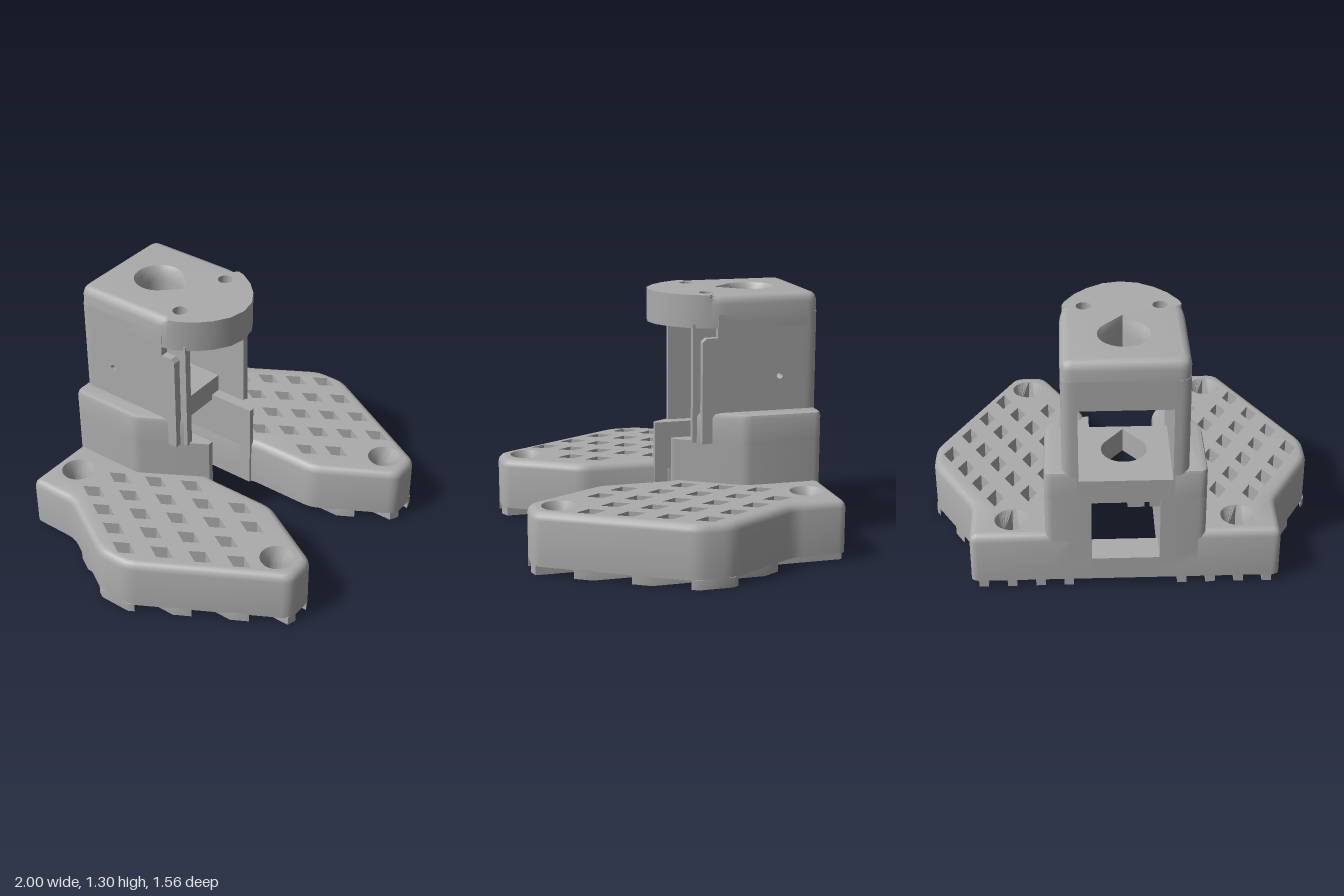
import * as THREE from 'three';
import { toCreasedNormals } from 'three/addons/utils/BufferGeometryUtils.js';

const V = (x, z) => new THREE.Vector2(x, z);
const grey = new THREE.MeshStandardMaterial({ color: 0xababab });
grey.name = 'grey plastic';

// Outline from [x, z, cornerRadius] points, optionally mirrored in x
function outline(list, side = 1) {
  const p = list.map(([x, z]) => V(x * side, z));
  const out = [];
  list.forEach(([, , r], i) => {
    if (!r) return out.push(p[i]);
    const n = p.length;
    const a = p[(i + n - 1) % n].clone().sub(p[i]).setLength(r).add(p[i]);
    const b = p[(i + 1) % n].clone().sub(p[i]).setLength(r).add(p[i]);
    out.push(...new THREE.QuadraticBezierCurve(a, p[i], b).getPoints(4));
  });
  return out;
}

const orient = (pts, ccw) => ((THREE.ShapeUtils.area(pts) > 0) === ccw ? pts : [...pts].reverse());

// Shrinks a counter-clockwise outline by d; weight(p) can switch this off locally
function inset(pts, d, weight) {
  const n = pts.length;
  const normal = (a, b) => V(a.y - b.y, b.x - a.x).normalize();
  return pts.map((p, i) => {
    const n1 = normal(pts[(i + n - 1) % n], p), n2 = normal(p, pts[(i + 1) % n]);
    return p.clone().addScaledVector(n1.clone().add(n2), (d * weight(p)) / (1 + n1.dot(n2)));
  });
}

// Upright solid: rings are [y, inset]; each hole is a list of [y, points] from bottom to top
function solid(name, pts, rings, holes = [], weight = () => 1) {
  const pos = [];
  const put = (p, y) => pos.push(p.x, y, p.y);
  const wall = (levels) => {
    for (let k = 0; k + 1 < levels.length; k++) {
      const [y0, lo] = levels[k], [y1, hi] = levels[k + 1];
      lo.forEach((a, i) => {
        const j = (i + 1) % lo.length;
        put(a, y0); put(hi[i], y1); put(lo[j], y0);
        put(lo[j], y0); put(hi[i], y1); put(hi[j], y1);
      });
    }
  };
  const lid = ([y, contour], inner, up) => {
    const all = [contour, ...inner].flat();
    for (const [a, b, c] of THREE.ShapeUtils.triangulateShape([...contour], inner.map((h) => [...h])))
      (up ? [a, c, b] : [a, b, c]).forEach((i) => put(all[i], y));
  };
  const base = orient(pts, true);
  const outer = rings.map(([y, d]) => [y, d ? inset(base, d, weight) : base]);
  const inner = holes.map((h) => h.map(([y, p]) => [y, orient(p, false)]));
  wall(outer);
  inner.forEach(wall);
  lid(outer[0], inner.map((h) => h[0][1]), false);
  lid(outer.at(-1), inner.map((h) => h.at(-1)[1]), true);
  const g = new THREE.BufferGeometry();
  g.setAttribute('position', new THREE.Float32BufferAttribute(pos, 3));
  return mesh(name, toCreasedNormals(g, 0.6));
}

function mesh(name, geometry) {
  const m = new THREE.Mesh(geometry, grey);
  m.name = name;
  return m;
}

function box(name, x0, x1, y0, y1, z0, z1) {
  const m = mesh(name, new THREE.BoxGeometry(x1 - x0, y1 - y0, z1 - z0));
  m.position.set((x0 + x1) / 2, (y0 + y1) / 2, (z0 + z1) / 2);
  return m;
}

// Circle whose front end is drawn out to a point at distance tip
function drop(x, z, r, tip = r) {
  const open = tip > r ? Math.acos(r / tip) : 0;
  const pts = [V(x, z + tip)];
  for (let i = 0; i < 24; i++) {
    const a = Math.PI / 2 + Math.max(open, 0.13) + (i / 23) * (2 * Math.PI - 2 * Math.max(open, 0.13));
    pts.push(V(x + r * Math.cos(a), z + r * Math.sin(a)));
  }
  return pts;
}

const WING = [[0.17, -0.78], [0.78, -0.78, 0.04], [0.78, -0.5, 0.05], [1, -0.12, 0.05], [1, 0.05, 0.05],
  [0.59, 0.78, 0.05], [0.42, 0.78, 0.05], [0.19, 0.37, 0.05], [0.19, 0], [0.17, -0.1]];
const SCREWS = [[0.57, -0.64], [0.51, 0.63]];

// Distance from a point to the wing's edge, negative when outside
function edgeDistance(p) {
  let best = Infinity, inside = false;
  WING.forEach(([ax, az], i) => {
    const [bx, bz] = WING[(i + 1) % WING.length];
    const a = V(ax, az), e = V(bx - ax, bz - az);
    const t = THREE.MathUtils.clamp(p.clone().sub(a).dot(e) / e.lengthSq(), 0, 1);
    best = Math.min(best, a.addScaledVector(e, t).distanceTo(p));
    if ((az > p.y) !== (bz > p.y) && p.x < ax + ((p.y - az) / (bz - az)) * (bx - ax)) inside = !inside;
  });
  return inside ? best : -best;
}

// Centres of the skewed lattice of diamond openings
function diamondCentres() {
  const out = [];
  for (let i = -8; i <= 12; i++) for (let j = -6; j <= 8; j++) {
    const p = V(0.66 + 0.083 * i - 0.17 * j, -0.45 + 0.139 * i + 0.037 * j);
    const clearOfTower = p.y > 0 || p.x - 0.4 + Math.max(0, p.y + 0.37) * 0.588 > 0.05;
    const clearOfScrews = SCREWS.every(([x, z]) => p.distanceTo(V(x, z)) > 0.155);
    if (edgeDistance(p) > 0.08 && clearOfTower && clearOfScrews) out.push(p);
  }
  return out;
}

function buildWing(side) {
  const g = new THREE.Group();
  g.name = side > 0 ? 'leftWing' : 'rightWing';
  const holes = diamondCentres().map(({ x, y: z }) => {
    const d = outline([[x, z - 0.075], [x + 0.044, z], [x, z + 0.075], [x - 0.044, z]], side);
    return [[0.045, d], [0.32, d]];
  });
  // Countersunk mounting holes
  for (const [x, z] of SCREWS) {
    const thru = drop(x * side, z, 0.05, 0.075);
    holes.push([[0.045, thru], [0.24, thru], [0.32, drop(x * side, z, 0.087)]]);
  }
  g.add(solid('wingPlate', outline(WING, side),
    [[0.045, 0], [0.28, 0], [0.3, 0.006], [0.313, 0.018], [0.32, 0.035]], holes));
  // Runners under the plate, cut off along the wing's edge
  const back = (x) => (x < 0.78 ? -0.77 : -0.5 + (x - 0.78) * 1.727);
  const front = (x) => (x < 0.42 ? 0.37 + (x - 0.19) * 1.783 : x < 0.59 ? 0.78 : 0.78 - (x - 0.59) * 1.78);
  for (let k = 0; k < 6; k++) {
    const a = 0.262 + 0.144 * k, b = Math.min(a + 0.048, 1);
    g.add(solid('runner', outline([[a, back(a)], [b, back(b)], [b, front(b)], [a, front(a)]], side),
      [[0, 0], [0.05, 0]]));
  }
  return g;
}

function buildTowerSide(side) {
  const g = new THREE.Group();
  g.name = side > 0 ? 'leftTowerSide' : 'rightTowerSide';
  g.add(
    solid('lowerPillar', outline([[0.17, -0.78], [0.4, -0.78, 0.04], [0.4, -0.37, 0.03], [0.2, -0.03], [0.17, -0.03]], side),
      [[0.045, 0], [0.54, 0]]),
    solid('shoulder', outline([[0.24, -0.78], [0.4, -0.78, 0.04], [0.4, -0.37, 0.03], [0.255, -0.12], [0.24, -0.12]], side),
      [[0.53, 0], [0.665, 0], [0.684, 0.006], [0.69, 0.025]]),
    solid('backPost', outline([[0.23, -0.78], [0.31, -0.78, 0.05], [0.31, -0.7], [0.23, -0.7]], side),
      [[0.53, 0], [1.2, 0]]));
  // Side wall with a pin hole, and its front flange
  const s = new THREE.Shape([V(-0.7, 0.53), V(-0.16, 0.53), V(-0.16, 1.06), V(-0.18, 1.08),
    V(-0.24, 1.08), V(-0.24, 1.2), V(-0.7, 1.2)]);
  s.holes.push(new THREE.Path().absarc(-0.575, 0.87, 0.016, 0, Math.PI * 2, true));
  const wall = mesh('sideWall', new THREE.ExtrudeGeometry(s, { depth: 0.08, bevelEnabled: false, curveSegments: 8 }));
  wall.rotation.y = -Math.PI / 2;
  wall.position.x = side > 0 ? 0.31 : -0.23;
  g.add(wall);
  const [a, b] = side > 0 ? [0.23, 0.268] : [-0.268, -0.23];
  g.add(box('frontFlange', a, b, 0.53, 1.15, -0.26, -0.12));
  return g;
}

export function createModel() {
  const model = new THREE.Group();
  model.name = 'mountingBracket';
  for (const side of [1, -1]) model.add(buildWing(side), buildTowerSide(side));

  // Cross members joining the two sides
  const shelfHole = drop(0, -0.5, 0.115, 0.185);
  model.add(
    box('backSill', -0.18, 0.18, 0.045, 0.17, -0.78, -0.62),
    solid('shelf', outline([[-0.24, -0.78], [0.24, -0.78], [0.24, -0.29], [-0.24, -0.29]]),
      [[0.51, 0], [0.64, 0]], [[[0.51, shelfHole], [0.64, shelfHole]]]),
    box('backLintel', -0.24, 0.24, 1.04, 1.2, -0.78, -0.7));

  // Small cable hooks under the shelf
  model.add(
    box('hookStem', -0.15, -0.125, 0.47, 0.52, -0.72, -0.63),
    box('hookFoot', -0.17, -0.12, 0.44, 0.47, -0.72, -0.63),
    box('hookStem', -0.08, -0.01, 0.465, 0.52, -0.72, -0.63),
    box('hookFoot', -0.095, -0.01, 0.44, 0.47, -0.72, -0.63));

  // Roof with a rounded nose, a flared teardrop opening and two screw holes
  const half = [[0.31, -0.78, 0.06], [0.31, -0.24, 0.04], [0.285, -0.16], [0.235, -0.08], [0.17, -0.015], [0.09, 0.035]];
  const roof = outline([...half, [0, 0.053], ...half.map(([x, z, r]) => [-x, z, r]).reverse()]);
  const drops = [[1.13, 0.1, 0.18], [1.22, 0.1, 0.18], [1.27, 0.108, 0.184], [1.3, 0.13, 0.19]]
    .map(([y, r, tip]) => [y, drop(0, -0.5, r, tip)]);
  const screwHoles = [0.19, -0.19].map((x) => [[1.13, drop(x, -0.21, 0.02)], [1.25, drop(x, -0.21, 0.02)],
    [1.25, drop(x, -0.21, 0.038)], [1.3, drop(x, -0.21, 0.038)]]);
  model.add(solid('roof', roof, [[1.13, 0], [1.255, 0], [1.28, 0.007], [1.293, 0.019], [1.3, 0.04]],
    [drops, ...screwHoles], (p) => (p.y < -0.22 ? 1 : 0)));
  return model;
}
